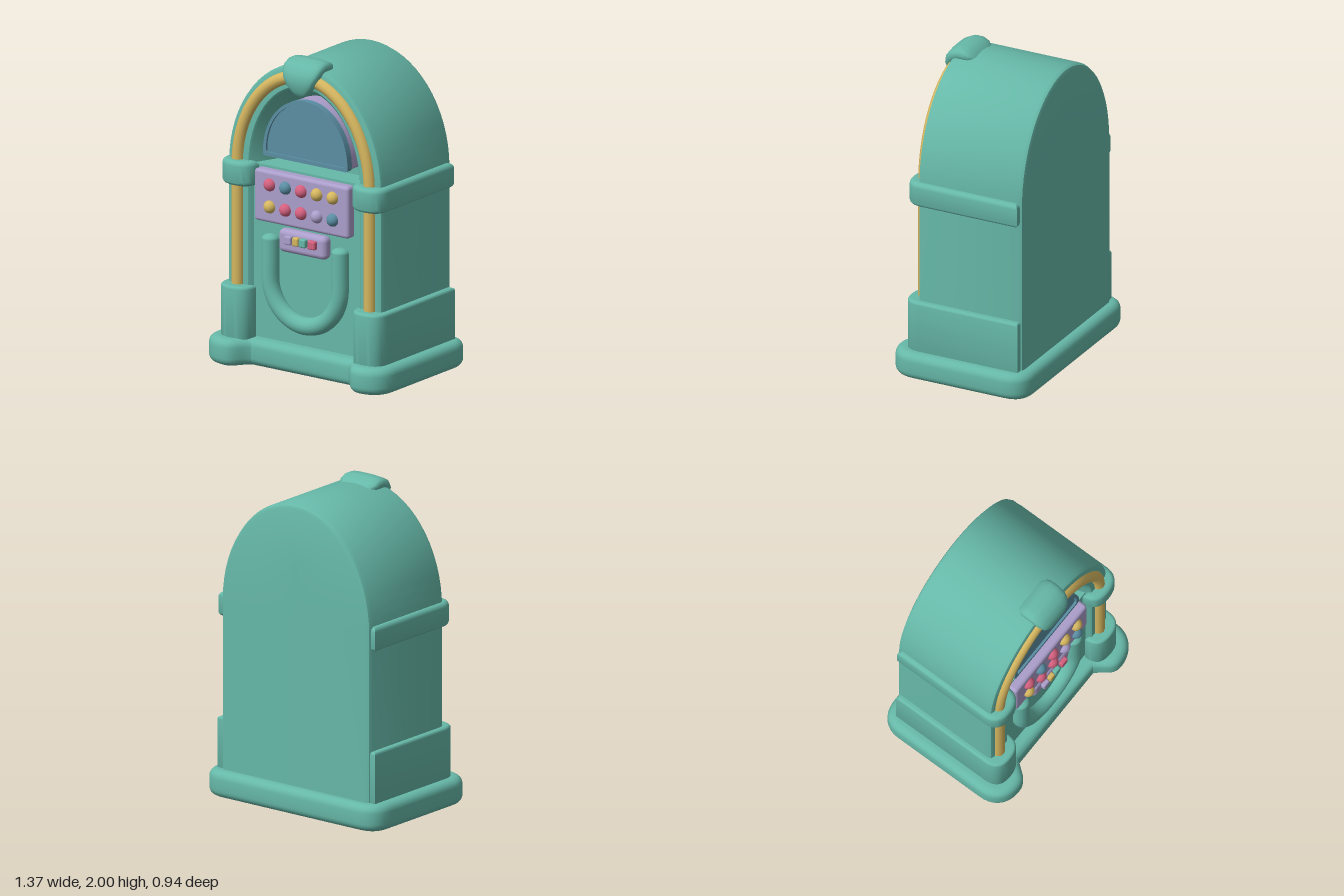
import * as THREE from 'three';
import { toCreasedNormals } from 'three/addons/utils/BufferGeometryUtils.js';
import { RoundedBoxGeometry } from 'three/addons/geometries/RoundedBoxGeometry.js';

const material = (name, color) => {
  const m = new THREE.MeshStandardMaterial({ color });
  m.name = name;
  return m;
};

// Skin a list of equally long loops of Vector3 points
function loft(loops, crease = 0.6) {
  const n = loops[0].length, index = [];
  for (let k = 0; k < loops.length - 1; k++) {
    for (let i = 0; i < n - 1; i++) {
      const a = k * n + i, c = a + n;
      index.push(a, a + 1, c + 1, a, c + 1, c);
    }
  }
  const geo = new THREE.BufferGeometry().setFromPoints(loops.flat());
  geo.setIndex(index);
  return toCreasedNormals(geo, crease);
}

// Arch line: up the +x side, over the top, down the -x side
const SPRING = 1.25;
function arch(rx, ry, z, bottom = 0.1, segments = 32) {
  const pts = [new THREE.Vector3(rx, bottom, z)];
  for (let i = 0; i <= segments; i++) {
    const a = Math.PI * i / segments;
    pts.push(new THREE.Vector3(rx * Math.cos(a), SPRING + ry * Math.sin(a), z));
  }
  pts.push(new THREE.Vector3(-rx, bottom, z));
  return pts;
}

// Raise a plan outline (x, -z) from y0 to y1 with rounded edges
function raise(shape, y0, y1, bevel) {
  const geo = new THREE.ExtrudeGeometry(shape, {
    depth: y1 - y0 - 2 * bevel, bevelEnabled: true, bevelSize: bevel, bevelThickness: bevel,
    bevelOffset: -bevel, bevelSegments: 5, curveSegments: 10,
  });
  geo.rotateX(-Math.PI / 2).translate(0, y0 + bevel, 0);
  return toCreasedNormals(geo, 0.6);
}

// Plan of one wrap-around side piece with a round front
function sidePlan(s, outer, inner, front, back) {
  const mid = (outer + inner) / 2, shoulder = front - 0.11;
  const shape = new THREE.Shape();
  shape.moveTo(s * 0.5, -back);
  shape.lineTo(s * outer, -back);
  shape.lineTo(s * outer, -shoulder);
  shape.bezierCurveTo(s * outer, -front + 0.035, s * (mid + 0.08), -front, s * mid, -front);
  shape.bezierCurveTo(s * (mid - 0.08), -front, s * inner, -front + 0.035, s * inner, -shoulder);
  shape.lineTo(s * 0.5, -shoulder);
  shape.closePath();
  return shape;
}

function windowOutline(inset, Type = THREE.Shape) {
  const s = new Type(), w = 0.32 - inset, y = 1.335 + inset;
  s.moveTo(-w + 0.02, y);
  s.lineTo(w - 0.02, y);
  s.quadraticCurveTo(w, y, w, y + 0.025);
  s.absellipse(0, y + 0.025, w, 1.73 - inset - y - 0.025, 0, Math.PI, false, 0);
  s.quadraticCurveTo(-w, y, -w + 0.02, y);
  return s;
}

export function createModel() {
  const teal = material('teal', 0x66b8a8);
  const yellow = material('yellow', 0xd6b760);
  const lilac = material('lilac', 0xab9ecb);
  const pink = material('pink', 0xd4607f);
  const blue = material('blue', 0x5a8ea3);

  const model = new THREE.Group();
  model.name = 'jukebox';
  const add = (name, geo, mat, x = 0, y = 0, z = 0) => {
    const mesh = new THREE.Mesh(geo, mat);
    mesh.name = name;
    mesh.position.set(x, y, z);
    model.add(mesh);
    return mesh;
  };
  const cx = -0.007; // the details sit slightly off centre

  // Plinth with two round feet at the front
  const plan = new THREE.Shape();
  plan.moveTo(-0.53, 0.475);
  plan.lineTo(0.53, 0.475);
  plan.quadraticCurveTo(0.685, 0.475, 0.685, 0.32);
  plan.lineTo(0.685, -0.3);
  plan.bezierCurveTo(0.685, -0.41, 0.61, -0.47, 0.51, -0.47);
  plan.bezierCurveTo(0.43, -0.47, 0.42, -0.4, 0.37, -0.36);
  plan.lineTo(-0.37, -0.36);
  plan.bezierCurveTo(-0.42, -0.4, -0.43, -0.47, -0.51, -0.47);
  plan.bezierCurveTo(-0.61, -0.47, -0.685, -0.41, -0.685, -0.3);
  plan.lineTo(-0.685, 0.32);
  plan.quadraticCurveTo(-0.685, 0.475, -0.53, 0.475);
  add('plinth', raise(plan, 0, 0.17, 0.05), teal);

  // Arched cabinet: back, sides, front rim, tapering recess
  add('cabinet', loft([
    arch(0, 0.3, -0.41), arch(0.55, 0.675, -0.41), arch(0.573, 0.697, -0.402),
    arch(0.582, 0.71, -0.38), arch(0.582, 0.71, 0.28), arch(0.574, 0.702, 0.302),
    arch(0.555, 0.685, 0.31), arch(0.425, 0.575, 0.31), arch(0.415, 0.56, 0.3),
    arch(0.34, 0.47, 0.12), arch(0, 0.3, 0.12),
  ]), teal, -0.003);
  add('frontPanel', new THREE.BoxGeometry(0.82, 1.17, 0.2), teal, 0, 0.685, 0.175);

  // Pillars and bands wrapping each side
  for (const s of [1, -1]) {
    const side = s > 0 ? 'left' : 'right';
    add(side + 'Pillar', raise(sidePlan(s, 0.617, 0.385, 0.395, -0.395), 0.15, 0.495, 0.018), teal);
    add(side + 'Band', raise(sidePlan(s, 0.613, 0.37, 0.387, -0.39), 1.13, 1.287, 0.03), teal);
  }

  // Light tube following the arch
  const tubePath = new THREE.CatmullRomCurve3([
    ...[0.4, 0.6, 0.8, 1.0].map((y) => new THREE.Vector3(0.5, y, 0.306)),
    ...arch(0.5, 0.635, 0.306, 1.15, 24),
    ...[1.0, 0.8, 0.6, 0.4].map((y) => new THREE.Vector3(-0.5, y, 0.306)),
  ]);
  add('lightTube', new THREE.TubeGeometry(tubePath, 96, 0.04, 12), yellow, cx);

  // Shield-shaped crest: [y, z, half width, half thickness] from the back over to the tip
  const crest = [
    [1.925, 0.17, 0.0, 0.0], [1.93, 0.175, 0.115, 0.025], [1.945, 0.2, 0.14, 0.035],
    [1.957, 0.235, 0.143, 0.042], [1.957, 0.275, 0.143, 0.043], [1.94, 0.312, 0.141, 0.043],
    [1.91, 0.334, 0.132, 0.043], [1.88, 0.341, 0.12, 0.043], [1.845, 0.339, 0.1, 0.041],
    [1.81, 0.333, 0.072, 0.036], [1.785, 0.327, 0.045, 0.03], [1.772, 0.322, 0.02, 0.02],
    [1.77, 0.32, 0.0, 0.0],
  ];
  const power = (v) => Math.sign(v) * Math.abs(v) ** 0.6;
  add('crest', loft(crest.map(([y, z, w, t], k) => {
    const p = crest[Math.max(k - 1, 0)], q = crest[Math.min(k + 1, crest.length - 1)];
    const dy = q[0] - p[0], dz = q[1] - p[1], len = Math.hypot(dy, dz);
    return Array.from({ length: 25 }, (_, i) => {
      const a = i / 24 * Math.PI * 2, out = t * power(Math.sin(a));
      return new THREE.Vector3(w * power(Math.cos(a)), y + out * dz / len, z - out * dy / len);
    });
  }), 0.9), teal, cx);

  // Arched display window
  const extrude = (shape, depth) => toCreasedNormals(
    new THREE.ExtrudeGeometry(shape, { depth, bevelEnabled: false, curveSegments: 28 }), 0.6);
  const frame = windowOutline(0);
  frame.holes.push(windowOutline(0.024, THREE.Path));
  add('windowHousing', extrude(windowOutline(0.004), 0.14), lilac, cx, 0, 0.11);
  add('windowFrame', extrude(frame, 0.045), blue, cx, 0, 0.25);
  add('windowGlass', extrude(windowOutline(0.02), 0.03), blue, cx, 0, 0.25);

  // Selector panel with two rows of round buttons
  add('selectorPanel', new RoundedBoxGeometry(0.715, 0.33, 0.12, 4, 0.022), lilac, -0.01, 1.09, 0.275);
  const rows = [[pink, blue, pink, yellow, yellow], [yellow, pink, pink, lilac, blue]];
  const buttonGeo = new THREE.SphereGeometry(0.041, 20, 12);
  rows.forEach((row, r) => row.forEach((mat, i) => {
    add('selectorButton', buttonGeo, mat, -0.245 + 0.119 * i, 1.17 - 0.14 * r, 0.332);
  }));

  // Small key panel
  add('keyPanel', new RoundedBoxGeometry(0.36, 0.148, 0.08, 5, 0.034), lilac, -0.007, 0.83, 0.297);
  [[-0.095, 0.054, lilac], [-0.037, 0.045, yellow], [0.016, 0.05, teal], [0.085, 0.058, pink]]
    .forEach(([x, w, mat]) => add('key', new RoundedBoxGeometry(w, 0.054, 0.05, 3, 0.01), mat, x, 0.847, 0.34));

  // U-shaped trim with rounded ends
  const trim = [0.815, 0.75, 0.66].map((y) => new THREE.Vector3(-0.263, y, 0));
  for (let i = 0; i <= 20; i++) {
    const a = Math.PI * (1 + i / 20);
    trim.push(new THREE.Vector3(0.263 * Math.cos(a), 0.58 + 0.275 * Math.sin(a), 0));
  }
  for (const y of [0.66, 0.75, 0.815]) trim.push(new THREE.Vector3(0.263, y, 0));
  add('frontTrim', new THREE.TubeGeometry(new THREE.CatmullRomCurve3(trim), 64, 0.056, 16), teal, cx, 0, 0.292);
  for (const s of [1, -1]) {
    add('trimEnd', new THREE.SphereGeometry(0.056, 16, 10), teal, cx + s * 0.263, 0.815, 0.292).scale.y = 0.55;
  }
  return model;
}
